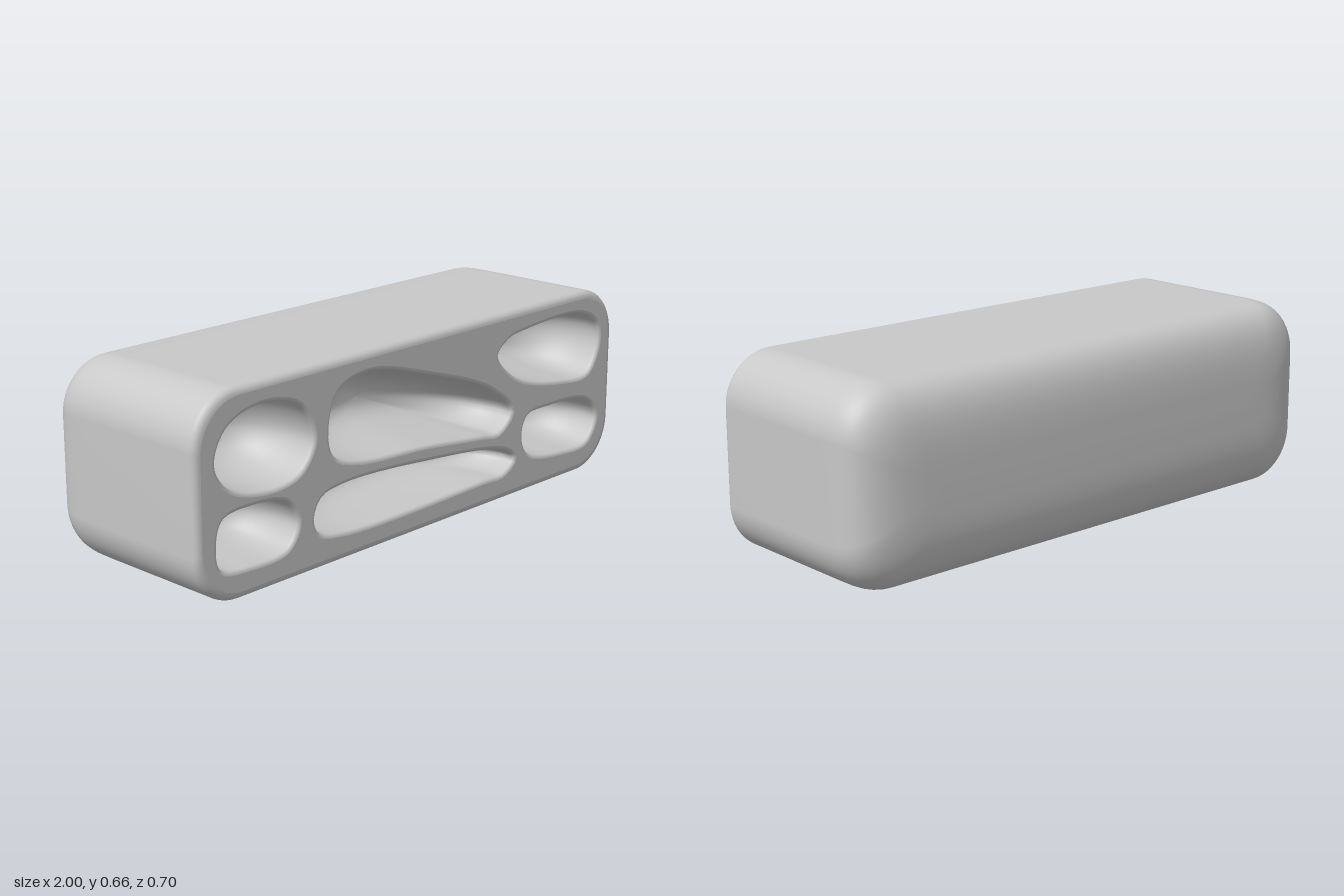
import * as THREE from 'three';

const W = 1, H = 0.33, FRONT = 0.35, EDGE = 0.025;

// Counter-clockwise rounded rectangle, inset from the full front outline
function outline(inset, steps = 12) {
  const w = W - inset, h = Math.max(H - inset, 0);
  const r = Math.min(Math.max(0.17 - inset * 0.5, 0.05), h);
  const pts = [];
  [[1, 1], [-1, 1], [-1, -1], [1, -1]].forEach(([sx, sy], q) => {
    for (let i = 0; i <= steps; i++) {
      const a = (q + i / steps) * Math.PI / 2;
      pts.push(new THREE.Vector2(sx * (w - r) + r * Math.cos(a), H + sy * (h - r) + r * Math.sin(a)));
    }
  });
  return pts;
}

// Skin a series of closed rings running from front to back
function loft(rings) {
  const n = rings[0].pts.length, pos = [], idx = [];
  rings.forEach(({ pts, z }) => pts.forEach(p => pos.push(p.x, p.y, z)));
  for (let i = 0; i < rings.length - 1; i++) {
    for (let j = 0; j < n; j++) {
      const k = (j + 1) % n;
      const a = i * n + j, d = i * n + k, b = a + n, c = d + n;
      idx.push(a, b, d, b, c, d);
    }
  }
  const g = new THREE.BufferGeometry();
  g.setAttribute('position', new THREE.Float32BufferAttribute(pos, 3));
  g.setIndex(idx);
  g.computeVertexNormals();
  return g;
}

// Small round front edge, straight sides, then a soft superelliptic back
function shellRings() {
  const rings = [];
  const ring = (inset, z) => rings.push({ pts: outline(inset), z });
  for (let i = 0; i <= 5; i++) {
    const a = i / 5 * Math.PI / 2;
    ring(EDGE * (1 - Math.sin(a)), FRONT - EDGE * (1 - Math.cos(a)));
  }
  for (let i = 0; i <= 20; i++) {
    const a = i / 20 * Math.PI / 2, e = 2 / 3.5;
    const u = i === 20 ? 0 : Math.pow(Math.cos(a), e);
    ring(H * (1 - u), -0.14 - 0.21 * Math.pow(Math.sin(a), e));
  }
  return rings;
}

// Clockwise smooth opening through a few points
function opening(points) {
  const curve = new THREE.CatmullRomCurve3(points.map(([x, y]) => new THREE.Vector3(x, y, 0)), true, 'centripetal');
  return curve.getSpacedPoints(80).slice(0, 80).map(p => new THREE.Vector2(p.x, p.y));
}

// Rounded lip followed by a bowl that closes on its centre
function pocketRings(rim, depth) {
  const n = rim.length, lip = 0.014;
  const inset = d => rim.map((p, i) => {
    const t = rim[(i + 1) % n].clone().sub(rim[(i + n - 1) % n]).normalize();
    return new THREE.Vector2(p.x + t.y * d, p.y - t.x * d);
  });
  const rings = [];
  for (let i = 0; i <= 4; i++) {
    const a = i / 4 * Math.PI / 2;
    rings.push({ pts: inset(lip * Math.sin(a)), z: FRONT - lip * (1 - Math.cos(a)) });
  }
  const wall = inset(lip);
  const centre = wall.reduce((s, p) => s.add(p), new THREE.Vector2()).divideScalar(n);
  for (let i = 1; i <= 16; i++) {
    const a = i / 16 * Math.PI / 2;
    const s = i === 16 ? 0 : Math.pow(Math.cos(a), 0.8);
    rings.push({
      pts: wall.map(p => centre.clone().lerp(p, s)),
      z: FRONT - lip - depth * Math.pow(Math.sin(a), 0.8),
    });
  }
  return rings;
}

// Name, depth and a few points around each opening
const POCKETS = [
  ['upperRightPocket', 0.28, [[-.93, .44], [-.88, .55], [-.73, .6], [-.56, .555], [-.5, .43], [-.56, .33],
    [-.68, .3], [-.87, .345]]],
  ['lowerRightPocket', 0.25, [[-.93, .19], [-.9, .275], [-.77, .295], [-.62, .265], [-.57, .18], [-.62, .095],
    [-.78, .08], [-.91, .105]]],
  ['upperMiddlePocket', 0.28, [[-.46, .42], [-.42, .56], [-.28, .605], [.02, .535], [.34, .415], [.455, .31],
    [.38, .235], [.28, .243], [0, .275], [-.32, .3], [-.43, .34]]],
  ['lowerMiddlePocket', 0.25, [[-.525, .17], [-.49, .24], [-.39, .265], [0, .247], [.42, .185], [.475, .135],
    [.41, .082], [.3, .08], [-.38, .08], [-.5, .11]]],
  ['upperLeftPocket', 0.28, [[.35, .52], [.41, .575], [.52, .595], [.82, .595], [.92, .54], [.935, .46],
    [.87, .35], [.7, .35], [.45, .415]]],
  ['lowerLeftPocket', 0.25, [[.49, .2], [.52, .28], [.65, .295], [.87, .27], [.935, .19], [.88, .093],
    [.72, .085], [.53, .125]]],
];

export function createModel() {
  const group = new THREE.Group();
  const grey = new THREE.MeshStandardMaterial({ color: 0xc8c8c8 });
  grey.name = 'light grey';
  const add = (geometry, name) => {
    const mesh = new THREE.Mesh(geometry, grey);
    mesh.name = name;
    group.add(mesh);
  };

  add(loft(shellRings()), 'shell');

  // Front face with an opening for each pocket
  const face = new THREE.Shape(outline(EDGE));
  for (const [name, depth, points] of POCKETS) {
    const rim = opening(points);
    face.holes.push(new THREE.Path(rim));
    add(loft(pocketRings(rim, depth)), name);
  }
  const faceGeometry = new THREE.ShapeGeometry(face);
  faceGeometry.translate(0, 0, FRONT);
  add(faceGeometry, 'frontFace');

  return group;
}
